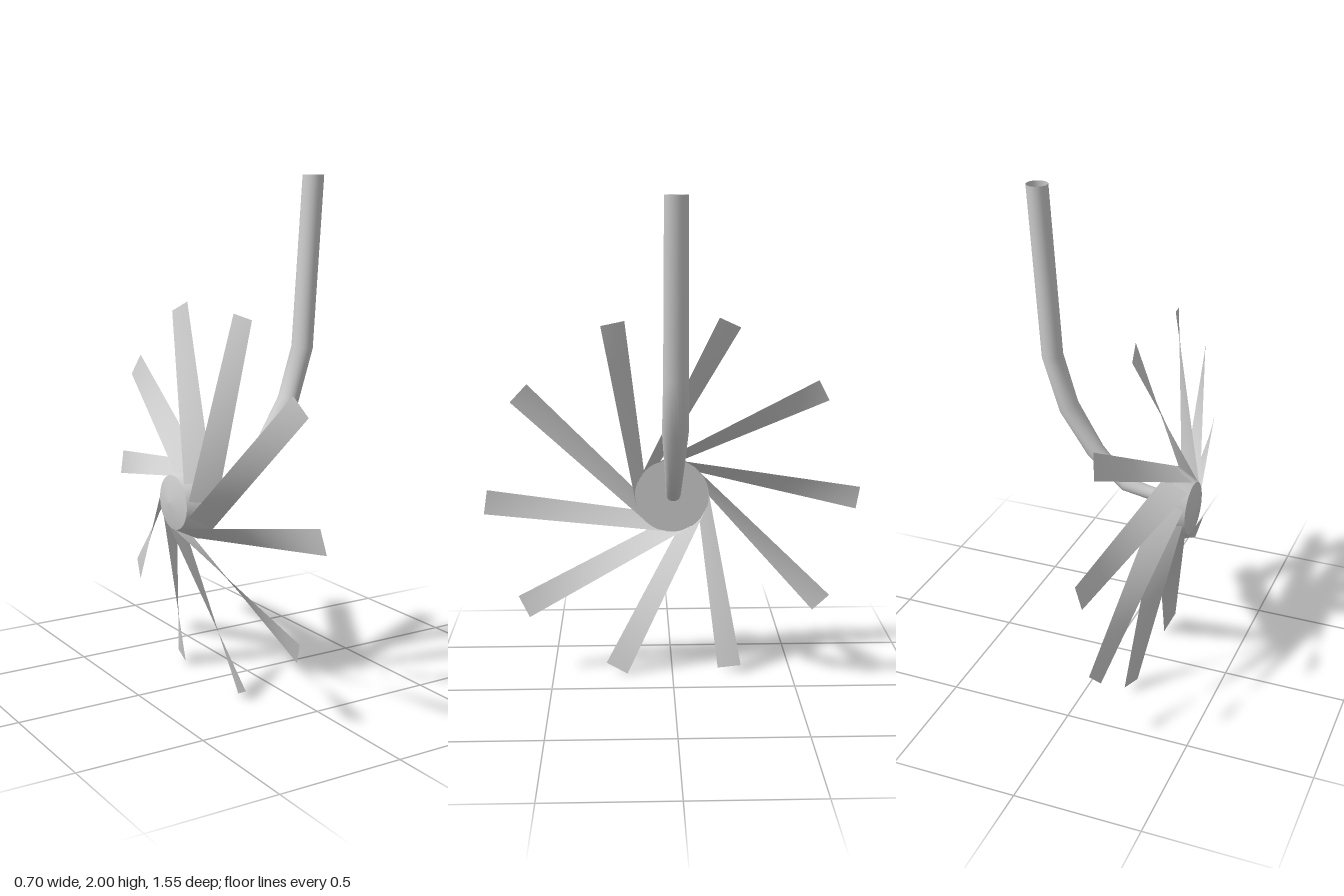
import * as THREE from 'three';

// Surface made from rows of points; every row has the same length.
function skin(rows) {
  const n = rows[0].length, index = [];
  for (let i = 0; i < rows.length - 1; i++) {
    for (let j = 0; j < n - 1; j++) {
      const a = i * n + j, b = a + n;
      index.push(a, a + 1, b, b, a + 1, b + 1);
    }
  }
  const geo = new THREE.BufferGeometry();
  geo.setAttribute('position', new THREE.Float32BufferAttribute(rows.flat(2), 3));
  geo.setIndex(index);
  geo.computeVertexNormals();
  return geo;
}

// Twisted strip running from the hub tangent to a nearly flat tip
function bladeGeometry() {
  const rootOuter = new THREE.Vector3(-0.24, -0.155, 0.0);
  const rootInner = new THREE.Vector3(-0.337, -0.102, 0.02);
  const tipOuter = new THREE.Vector3(-0.16, -0.052, 0.775);
  const tipInner = new THREE.Vector3(-0.18, 0.045, 0.762);
  const rows = [];
  for (let i = 0; i <= 10; i++) {
    const a = rootOuter.clone().lerp(tipOuter, i / 10);
    const b = rootInner.clone().lerp(tipInner, i / 10);
    rows.push([0, 0.5, 1].map(t => a.clone().lerp(b, t).toArray()));
  }
  return skin(rows);
}

// Bent tube that widens towards its open top
function pipeGeometry() {
  // x, y, in-plane radius, depth radius, ring normal angle
  const stations = [
    [-0.24, 0.773, 0.025, 0.025, 1.38],
    [-0.048, 0.81, 0.029, 0.03, 1.93],
    [0.08, 0.935, 0.036, 0.038, 2.5],
    [0.193, 1.11, 0.038, 0.051, 2.68],
    [0.26, 1.32, 0.041, 0.048, 3.0],
    [0.308, 2.0, 0.042, 0.045, Math.PI],
  ];
  stations[0][4] = 1.77;
  const sides = 24;
  return skin(stations.map(([x, y, rp, rz, ang]) => {
    const ring = [];
    for (let j = 0; j <= sides; j++) {
      const t = j / sides * Math.PI * 2, c = Math.cos(t) * rp;
      ring.push([x + Math.cos(ang) * c, y + Math.sin(ang) * c, Math.sin(t) * rz]);
    }
    return ring;
  }));
}

export function createModel() {
  const model = new THREE.Group();
  const metal = new THREE.MeshStandardMaterial({ color: 0xcccccc, side: THREE.DoubleSide });
  metal.name = 'light grey metal';
  const add = (parent, geo, name) => {
    const mesh = new THREE.Mesh(geo, metal);
    mesh.name = name;
    parent.add(mesh);
    return mesh;
  };

  // Wheel turning about the x axis
  const wheel = new THREE.Group();
  wheel.name = 'wheel';
  wheel.position.y = 0.755;
  model.add(wheel);

  // Tapered hub with a flat face towards the pipe and a shallow cone behind
  const toX = geo => geo.rotateZ(-Math.PI / 2);
  const taper = new THREE.CylinderGeometry(0.155, 0.107, 0.097, 40, 1, true);
  add(wheel, toX(taper).translate(-0.2885, 0, 0), 'hubSide');
  const face = new THREE.CircleGeometry(0.155, 40).rotateY(Math.PI / 2);
  add(wheel, face.translate(-0.24, 0, 0), 'hubFace');
  const nose = new THREE.LatheGeometry(
    [[0, -0.355], [0.055, -0.35], [0.107, -0.337]].map(p => new THREE.Vector2(...p)), 40);
  add(wheel, toX(nose), 'hubBack');

  // Ten blades around the hub
  const blade = bladeGeometry();
  for (let i = 0; i < 10; i++) {
    add(wheel, blade, 'blade').rotation.x = i * Math.PI / 5;
  }

  // Pipe feeding the hub
  add(model, pipeGeometry(), 'pipe');
  return model;
}
